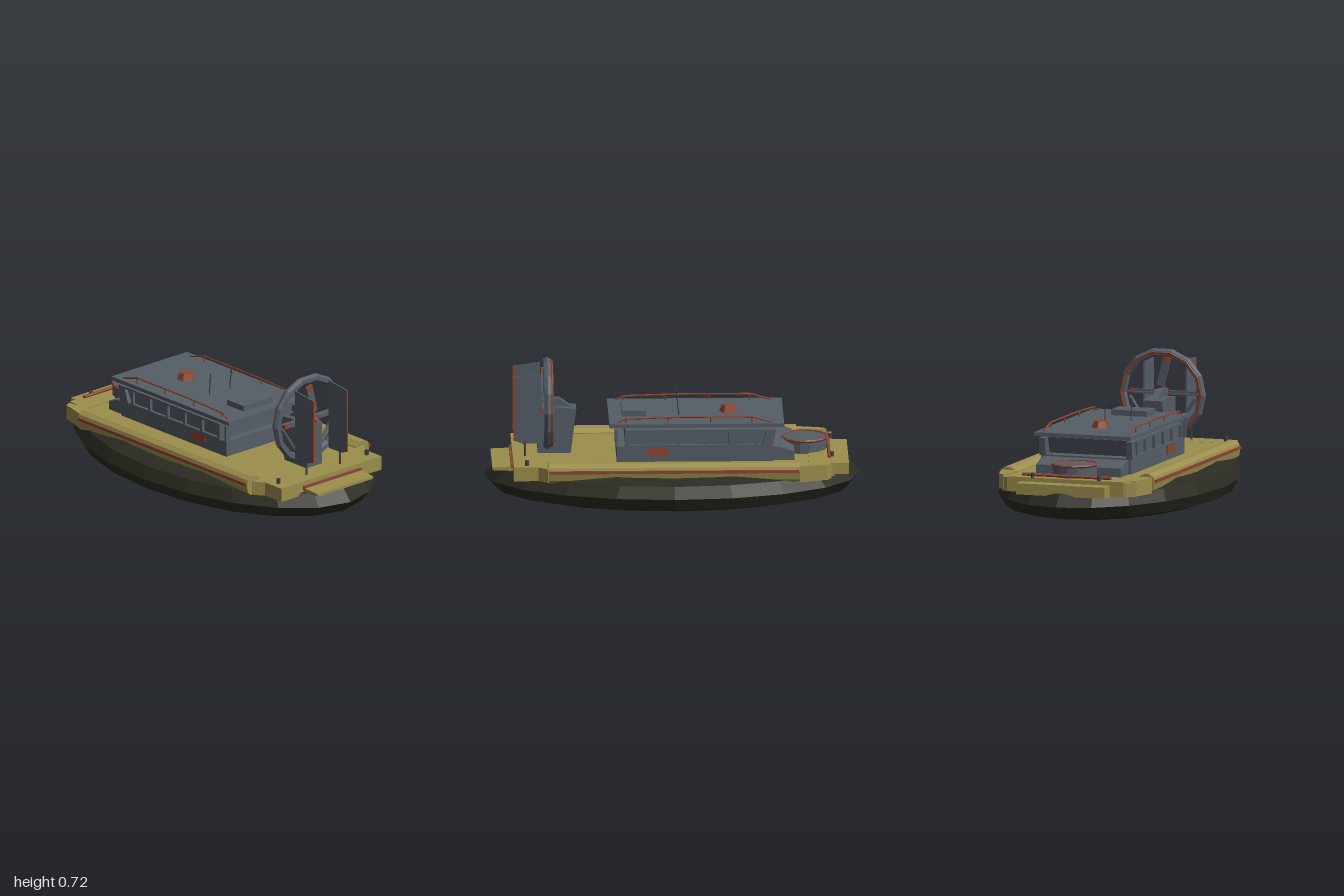
import * as THREE from 'three';

export function createModel() {
  const root = new THREE.Group();
  root.name = 'hovercraft';
  const mat = (name, color) => {
    const m = new THREE.MeshStandardMaterial({ color, flatShading: true });
    m.name = name;
    return m;
  };
  const olive = mat('olive paint', 0x9c8e4c);
  const grey = mat('slate grey', 0x555d66);
  const rubber = mat('black rubber', 0x2b2b22);
  const rust = mat('rust red', 0x8a4633);
  const dark = mat('dark metal', 0x3a4048);

  const add = (name, geo, material, x = 0, y = 0, z = 0) => {
    const mesh = new THREE.Mesh(geo, material);
    mesh.name = name;
    mesh.position.set(x, y, z);
    root.add(mesh);
    return mesh;
  };
  // Box given by its limits on each axis
  const box = (name, m, [x0, x1], [y0, y1], [z0, z1]) =>
    add(name, new THREE.BoxGeometry(x1 - x0, y1 - y0, z1 - z0), m, (x0 + x1) / 2, (y0 + y1) / 2, (z0 + z1) / 2);
  const extrude = (pts, depth) => new THREE.ExtrudeGeometry(
    new THREE.Shape(pts.map(p => new THREE.Vector2(...p))), { depth, bevelEnabled: false });
  // Plan outline [x, z], raised from y0 to y1
  const plan = (name, m, pts, y0, y1) =>
    add(name, extrude(pts.map(([x, z]) => [x, -z]), y1 - y0).rotateX(-Math.PI / 2), m, 0, y0, 0);
  // Side outline [z, y], extruded across x
  const side = (name, m, pts, x, w) =>
    add(name, extrude(pts, w).translate(0, 0, -w / 2).rotateY(-Math.PI / 2), m, x, 0, 0);
  // Straight round bar between two points
  const bar = (name, m, a, b, r, n = 6) => {
    const p = new THREE.Vector3(...a), q = new THREE.Vector3(...b), d = q.clone().sub(p);
    const mesh = add(name, new THREE.CylinderGeometry(r, r, d.length(), n), m);
    mesh.position.copy(p).add(q).multiplyScalar(0.5);
    mesh.quaternion.setFromUnitVectors(new THREE.Vector3(0, 1, 0), d.normalize());
    return mesh;
  };
  const mirrored = pts => [...pts, ...pts.map(([x, z]) => [-x, z]).reverse()];

  // Inflated skirt
  add('skirt', new THREE.TorusGeometry(0.475, 0.11, 8, 20).rotateX(Math.PI / 2).scale(1, 0.82, 1.71), rubber, 0, 0.09, 0);

  // Hull, bow and stern
  plan('hull', olive, mirrored([[0.335, -0.84], [0.37, -0.82], [0.42, -0.67], [0.4, -0.6], [0.4, 0.67], [0.36, 0.72]]), 0.14, 0.215);
  plan('bowDeck', olive, mirrored([[0.33, -0.855], [0.34, -0.72]]), 0.15, 0.222);
  box('bowStep', olive, [-0.25, 0.25], [0.14, 0.2], [-0.935, -0.84]);
  box('sternBlock', olive, [-0.36, 0.36], [0.14, 0.216], [0.71, 0.85]);
  side('sternRamp', olive, [[0.84, 0.155], [0.84, 0.18], [0.96, 0.175], [0.96, 0.16]], 0, 0.4);
  box('sternBumper', rust, [-0.205, 0.205], [0.172, 0.192], [0.845, 0.862]);
  bar('bowRail', rust, [-0.25, 0.235, -0.83], [0.25, 0.235, -0.83], 0.009);

  for (const s of [-1, 1]) {
    // Side pontoon and rubbing strip
    const profile = [[0.34, 0.14], [0.41, 0.14], [0.432, 0.16], [0.44, 0.2], [0.432, 0.228], [0.405, 0.245], [0.37, 0.242], [0.34, 0.22]];
    add('sidePontoon', extrude(profile.map(([x, y]) => [s * x, y]), 1.335), olive, 0, 0, -0.67);
    add('rubbingStrip', new THREE.BoxGeometry(0.014, 0.015, 1.33), rust, s * 0.44, 0.206, 0);
    plan('bowCheek', olive, [[s * 0.335, -0.73], [s * 0.36, -0.83], [s * 0.39, -0.815], [s * 0.425, -0.67], [s * 0.34, -0.67]], 0.15, 0.228);
    // Bollards
    add('sternBollard', new THREE.CylinderGeometry(0.011, 0.011, 0.032, 8), dark, s * 0.317, 0.227, 0.78);
    add('bowBollard', new THREE.CylinderGeometry(0.011, 0.011, 0.03, 8), dark, s * 0.187, 0.232, -0.845);
  }

  // Cabin
  box('cabinBase', grey, [-0.255, 0.255], [0.21, 0.3], [-0.53, 0.3]);
  side('cabinUpper', grey, [[0.255, 0.295], [0.255, 0.39], [-0.5, 0.39], [-0.455, 0.295]], 0, 0.49);
  side('foredeck', grey, [[-0.52, 0.21], [-0.52, 0.293], [-0.58, 0.285], [-0.645, 0.262], [-0.645, 0.21]], 0, 0.48);
  box('roof', grey, [-0.272, 0.272], [0.405, 0.425], [-0.59, 0.34]);
  box('roofHatch', grey, [-0.103, 0.103], [0.42, 0.455], [0.14, 0.27]);
  add('beacon', new THREE.CylinderGeometry(0.035, 0.05, 0.036, 6), rust, 0, 0.443, -0.3);
  for (const s of [-1, 1]) {
    // Window frames, door plate and corner posts
    box('windowSill', grey, [s * 0.252 - 0.01, s * 0.252 + 0.01], [0.295, 0.308], [-0.46, 0.255]);
    box('windowHead', grey, [s * 0.252 - 0.01, s * 0.252 + 0.01], [0.378, 0.39], [-0.5, 0.255]);
    for (let i = 0; i < 6; i++) {
      const z = 0.245 - i * 0.137;
      box('windowPost', grey, [s * 0.252 - 0.009, s * 0.252 + 0.009], [0.3, 0.39], [z - 0.008, z + 0.008]);
    }
    side('windscreenPost', grey, [[-0.465, 0.295], [-0.53, 0.295], [-0.545, 0.39], [-0.5, 0.39]], s * 0.245, 0.035);
    box('rearPost', grey, [s * 0.25 - 0.014, s * 0.25 + 0.014], [0.3, 0.392], [0.297, 0.309]);
    box('doorPlate', rust, [s * 0.257 - 0.004, s * 0.257 + 0.004], [0.245, 0.3], [0.025, 0.137]);
    // Roof rail
    const rail = [[0.3, 0.425], [0.25, 0.448], [-0.05, 0.456], [-0.42, 0.456], [-0.53, 0.425]];
    for (let i = 0; i < 4; i++)
      bar('roofRail', rust, [s * 0.24, rail[i][1], rail[i][0]], [s * 0.24, rail[i + 1][1], rail[i + 1][0]], 0.005);
    for (const z of [0.25, 0.03, -0.2, -0.42]) bar('railPost', rust, [s * 0.24, 0.42, z], [s * 0.24, 0.45, z], 0.004);
    bar('antenna', dark, [s * 0.073, 0.42, -0.035], [s * 0.075, 0.55, -0.022], 0.003, 5);
  }

  // Round bow well with rim
  add('bowWell', new THREE.CylinderGeometry(0.118, 0.118, 0.07, 14), grey, 0, 0.25, -0.705);
  add('bowWellRim', new THREE.TorusGeometry(0.118, 0.008, 5, 14).rotateX(Math.PI / 2), rust, 0, 0.284, -0.705);

  // Propeller ring, pylon and motor
  add('fanRing', new THREE.TorusGeometry(0.224, 0.022, 6, 14), grey, 0, 0.475, 0.665);
  add('fanRingTrim', new THREE.TorusGeometry(0.226, 0.007, 5, 14), rust, 0, 0.475, 0.641);
  side('pylon', grey, [[0.54, 0.21], [0.51, 0.455], [0.6, 0.465], [0.715, 0.455], [0.715, 0.21]], 0, 0.11);
  side('motor', grey, [[0.51, 0.44], [0.6, 0.505], [0.7, 0.5], [0.7, 0.44]], 0, 0.04);
  add('propellerHub', new THREE.ConeGeometry(0.033, 0.05, 6).rotateX(Math.PI / 2), rust, 0, 0.48, 0.72);
  for (const s of [-1, 1]) {
    bar('ringStrut', grey, [s * 0.185, 0.455, 0.665], [s * 0.045, 0.245, 0.665], 0.009);
    box('ringCrossbar', grey, [s * 0.11 - 0.1, s * 0.11 + 0.1], [0.474, 0.48], [0.65, 0.665]);
  }
  // Four pitched blades with painted tips
  for (let i = 0; i < 4; i++) {
    const blade = new THREE.Group();
    blade.name = 'propellerBlade';
    const upright = i % 2 === 0;
    for (const [name, m, y, h] of [['bladeBody', grey, 0.1, 0.13], ['bladeTip', rust, 0.18, 0.03]]) {
      const mesh = new THREE.Mesh(new THREE.BoxGeometry(upright ? 0.042 : 0.024, h, 0.012), m);
      mesh.name = name;
      mesh.position.y = y;
      blade.add(mesh);
    }
    blade.position.set(upright ? 0.03 * (1 - i) : 0, 0.478, 0.69);
    blade.rotation.z = i * Math.PI / 2 + (upright ? 0.25 : 0);
    root.add(blade);
  }
  // Twin rudders
  for (const s of [-1, 1]) {
    side('rudder', grey, [[0.7, 0.285], [0.7, 0.668], [0.84, 0.65], [0.84, 0.3], [0.8, 0.285]], s * 0.12, 0.008);
    box('rudderEdge', rust, [s * 0.12 - 0.005, s * 0.12 + 0.005], [0.3, 0.65], [0.833, 0.845]);
    bar('rudderPost', dark, [s * 0.12, 0.21, 0.785], [s * 0.12, 0.3, 0.785], 0.005);
  }
  return root;
}
